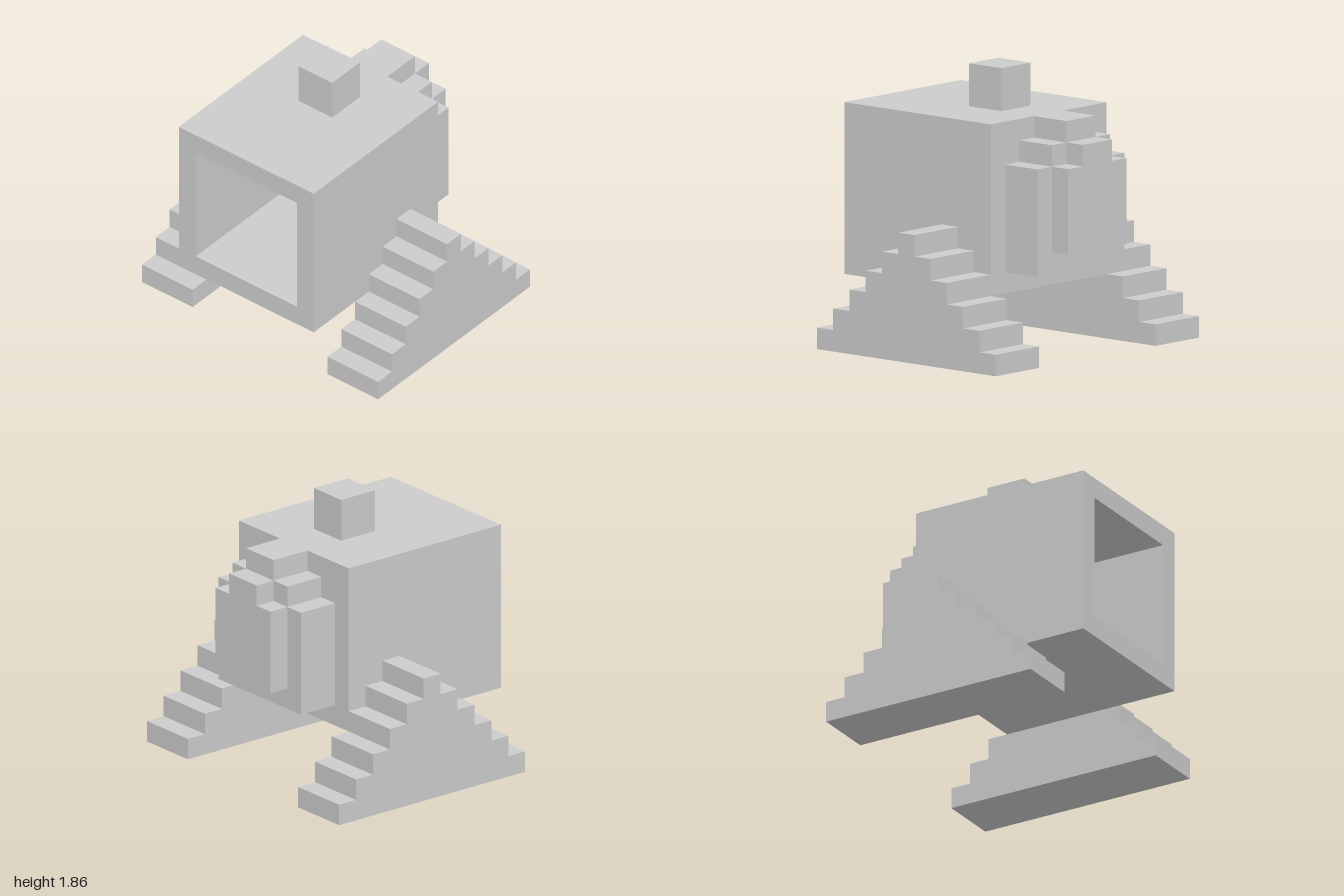
import * as THREE from 'three';

const U = 1 / 7; // everything sits on a grid of one-seventh units

const material = new THREE.MeshStandardMaterial({ color: 0xcccccc, flatShading: true });

function addPart(parent, name, geometry) {
  geometry.scale(U, U, U);
  const mesh = new THREE.Mesh(geometry, material);
  mesh.name = name;
  parent.add(mesh);
  return mesh;
}

// Box given by its min and max corners in grid units
function block(x0, x1, y0, y1, z0, z1) {
  return new THREE.BoxGeometry(x1 - x0, y1 - y0, z1 - z0)
    .translate((x0 + x1) / 2, (y0 + y1) / 2, (z0 + z1) / 2);
}

function rectPoints(x0, x1, y0, y1) {
  return [[x0, y0], [x1, y0], [x1, y1], [x0, y1]].map(([x, y]) => new THREE.Vector2(x, y));
}

// Stepped outline: rows of [left, right, top], widest first
function steppedShape(bottom, rows) {
  const right = [], left = [];
  let y = bottom;
  for (const [l, r, top] of rows) {
    right.push(new THREE.Vector2(r, y), new THREE.Vector2(r, top));
    left.unshift(new THREE.Vector2(l, top), new THREE.Vector2(l, y));
    y = top;
  }
  return new THREE.Shape([...right, ...left]);
}

const extrude = (shape, depth) =>
  new THREE.ExtrudeGeometry(shape, { depth, bevelEnabled: false });

export function createModel() {
  const model = new THREE.Group();
  model.name = 'steppedCubeModel';

  // Hollow body, open at the front, with a one-unit wall
  const body = new THREE.Group();
  body.name = 'body';
  const frame = new THREE.Shape(rectPoints(-4, 4, 3, 11));
  frame.holes.push(new THREE.Path(rectPoints(-3, 3, 4, 10).reverse()));
  addPart(body, 'bodyShell', extrude(frame, 8).translate(0, 0, -2));
  addPart(body, 'bodyBackWall', block(-4, 4, 3, 11, -3, -2));
  model.add(body);

  // Cube on the roof
  addPart(model, 'topCube', block(-1, 1, 11, 13, -1, 1));

  // Stepped pack on the back: a thick layer and a smaller outer plate
  const pack = new THREE.Group();
  pack.name = 'backPack';
  const inner = steppedShape(4, [[-3, 3, 9], [-2, 2, 10], [-1, 1, 11]]);
  const outer = steppedShape(5, [[-2, 2, 9], [-1, 1, 10]]);
  addPart(pack, 'packInnerLayer', extrude(inner, 2).translate(0, 0, -5));
  addPart(pack, 'packOuterPlate', extrude(outer, 1).translate(0, 0, -6));
  model.add(pack);

  // Stair-shaped side supports, profile drawn along z and extruded along x
  const rows = [];
  for (let i = 0; i < 6; i++) rows.push([-6 + i, 5 - i, i + 1]);
  for (const [name, outerX] of [['leftStairLeg', 7], ['rightStairLeg', -4]]) {
    addPart(model, name,
      extrude(steppedShape(0, rows), 3).rotateY(-Math.PI / 2).translate(outerX, 0, 0));
  }

  return model;
}
